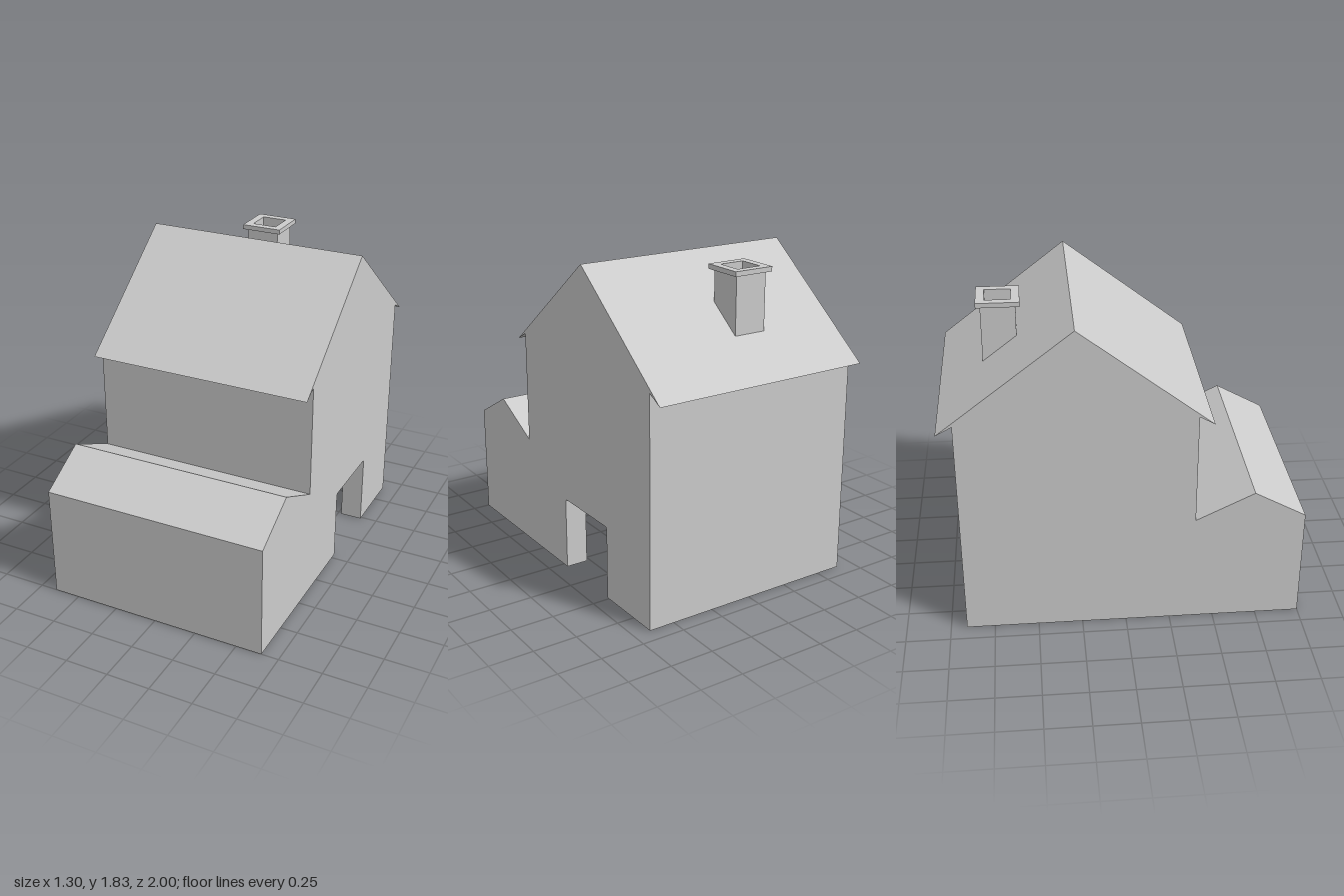
import * as THREE from 'three';

const HALF = 0.65; // half width of the house
const material = new THREE.MeshStandardMaterial({
  color: 0xcccccc, flatShading: true, side: THREE.DoubleSide,
});

// Outline of the house as [z, y], from the front foot over the roofs to the back foot
const outline = [
  [1, 0], [1, 0.655], [0.71, 0.815], [0.385, 0.655], [0.385, 1.305],
  [0.47, 1.257], [-0.265, 1.825], [-1, 1.257], [-0.91, 1.305], [-0.91, 0],
];
// Doorway outline as [z, y], back jamb to front jamb, with slightly eased corners
const doorway = [
  [-0.485, 0], [-0.485, 0.415], [-0.475, 0.425], [-0.05, 0.425], [-0.04, 0.415], [-0.04, 0],
];

const roofHeight = z => 1.825 - Math.abs(z + 0.265) * (0.568 / 0.735);

function addMesh(parent, name, geometry) {
  const mesh = new THREE.Mesh(geometry, material);
  mesh.name = name;
  parent.add(mesh);
  return mesh;
}

// Flat panels joining successive [z, y] points between x0 and x1
function sweep(points, x0, x1) {
  const pos = [];
  for (let i = 0; i < points.length - 1; i++) {
    const [za, ya] = points[i], [zb, yb] = points[i + 1];
    pos.push(x0, ya, za, x1, ya, za, x1, yb, zb, x0, ya, za, x1, yb, zb, x0, yb, zb);
  }
  const geometry = new THREE.BufferGeometry();
  geometry.setAttribute('position', new THREE.Float32BufferAttribute(pos, 3));
  geometry.computeVertexNormals();
  return geometry;
}

// Gable wall filling an outline; side is +1 or -1 along x
function gable(points, side) {
  const shape = new THREE.Shape(points.map(([z, y]) => new THREE.Vector2(-side * z, y)));
  return new THREE.ShapeGeometry(shape).rotateY(side * Math.PI / 2).translate(side * HALF, 0, 0);
}

// Square tube standing on y = 0
function squareTube(outer, inner, height) {
  const square = s => [[-s, -s], [s, -s], [s, s], [-s, s]]
    .map(([x, y]) => new THREE.Vector2(x / 2, y / 2));
  const shape = new THREE.Shape(square(outer));
  shape.holes.push(new THREE.Path(square(inner).reverse()));
  return new THREE.ExtrudeGeometry(shape, { depth: height, bevelEnabled: false })
    .rotateX(-Math.PI / 2);
}

export function createModel() {
  const house = new THREE.Group();
  house.name = 'house';

  // Thin shell, open underneath
  addMesh(house, 'frontWall', sweep(outline.slice(0, 2), -HALF, HALF));
  addMesh(house, 'lowerRoof', sweep(outline.slice(1, 4), -HALF, HALF));
  addMesh(house, 'upperFrontWall', sweep(outline.slice(3, 5), -HALF, HALF));
  addMesh(house, 'mainRoof', sweep(outline.slice(4, 9), -HALF, HALF));
  addMesh(house, 'backWall', sweep(outline.slice(8), -HALF, HALF));

  // Side walls: the doorway notches the +x one
  addMesh(house, 'leftWall', gable([...outline, ...doorway], 1));
  addMesh(house, 'rightWall', gable(outline, -1));
  addMesh(house, 'doorLining', sweep(doorway, HALF - 0.13, HALF));

  // Hollow chimney whose foot follows the roof slope
  const chimney = new THREE.Group();
  chimney.name = 'chimney';
  house.add(chimney);
  const cx = -0.0875, cz = -0.652, top = 1.775;
  const shaft = squareTube(0.19, 0.145, 1).translate(cx, 0, cz);
  const p = shaft.attributes.position;
  for (let i = 0; i < p.count; i++) {
    p.setY(i, p.getY(i) > 0.5 ? top : roofHeight(p.getZ(i)));
  }
  shaft.computeVertexNormals();
  addMesh(chimney, 'chimneyShaft', shaft);
  addMesh(chimney, 'chimneyCap', squareTube(0.237, 0.145, 0.027).translate(cx, top, cz));

  return house;
}
